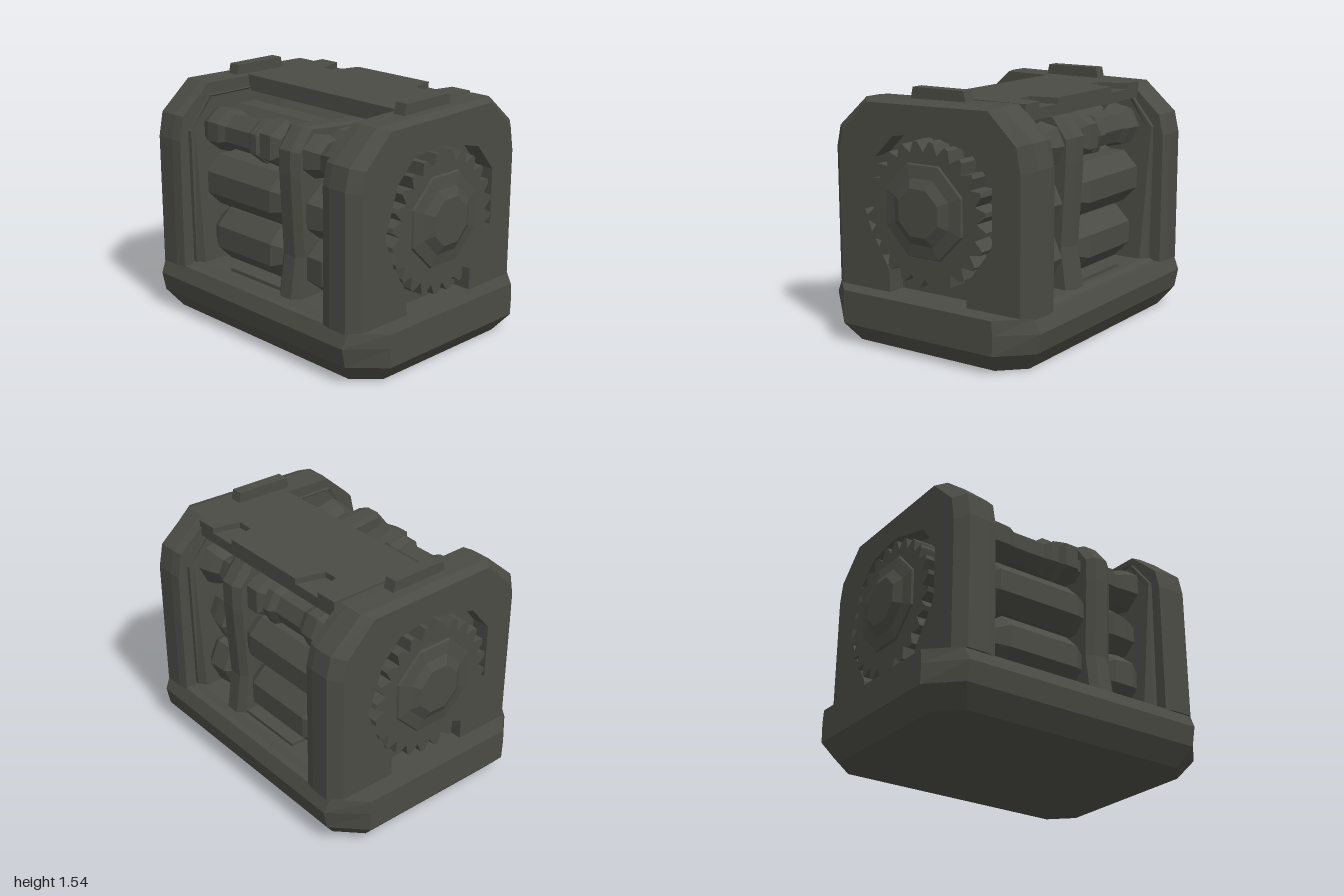
import * as THREE from 'three';

export function createModel() {
  const model = new THREE.Group();
  const metal = new THREE.MeshStandardMaterial({ color: 0x4b4b45 });
  metal.name = 'dark metal';

  // Adds a faceted part.
  function add(name, geometry, x = 0, y = 0, z = 0, parent = model) {
    const g = geometry.index ? geometry.toNonIndexed() : geometry;
    g.computeVertexNormals();
    const mesh = new THREE.Mesh(g, metal);
    mesh.name = name;
    mesh.position.set(x, y, z);
    parent.add(mesh);
    return mesh;
  }

  // Plate with a side outline [z, y], running from x0 to x1; its outer rim shrinks by taper0 and taper1 at the two faces.
  function sidePlate(points, x0, x1, taper0 = 1, taper1 = 1, isRim = () => true) {
    const shape = new THREE.Shape(points.map(([z, y]) => new THREE.Vector2(-z, y)));
    const g = new THREE.ExtrudeGeometry(shape, { depth: x1 - x0, steps: 4, bevelEnabled: false });
    g.rotateY(Math.PI / 2).translate(x0, 0, 0);
    const p = g.attributes.position;
    for (let i = 0; i < p.count; i++) {
      const x = p.getX(i), y = p.getY(i), z = p.getZ(i);
      const taper = Math.abs(x - x0) < 1e-4 ? taper0 : Math.abs(x - x1) < 1e-4 ? taper1 : 1;
      if (isRim(z, y)) {
        p.setZ(i, z * taper);
        if (y > 1) p.setY(i, y - (1 - taper) * 0.2);
      }
    }
    return g;
  }

  // Turned part along x from a profile of [x, radius].
  function turned(profile, sides = 8) {
    const ends = [[profile[0][0], 0], ...profile, [profile[profile.length - 1][0], 0]];
    const g = new THREE.LatheGeometry(ends.map(([x, r]) => new THREE.Vector2(r, x)), sides, Math.PI / sides);
    return g.rotateZ(-Math.PI / 2);
  }

  // Stack of eight-sided rings [y, halfX, halfZ, cornerX, cornerZ], closed at both ends.
  function loft(rings) {
    const v = [], idx = [], n = 8;
    for (const [y, a, b, cx, cz] of rings) {
      const ring = [[a, b - cz], [a - cx, b], [cx - a, b], [-a, b - cz], [-a, cz - b], [cx - a, -b], [a - cx, -b], [a, cz - b]];
      ring.forEach(([x, z]) => v.push(x, y, z));
    }
    for (let r = 0; r < rings.length - 1; r++) {
      for (let i = 0; i < n; i++) {
        const a = r * n + i, b = r * n + (i + 1) % n;
        idx.push(a, a + n, b, b, a + n, b + n);
      }
    }
    const t = (rings.length - 1) * n;
    for (let i = 1; i < n - 1; i++) idx.push(0, i, i + 1, t, t + i + 1, t + i);
    const g = new THREE.BufferGeometry();
    g.setAttribute('position', new THREE.Float32BufferAttribute(v, 3));
    g.setIndex(idx);
    return g;
  }

  // Chamfered base with a slightly raised floor between the end frames
  add('base', loft([
    [0, 0.9, 0.63, 0.14, 0.14], [0.12, 1, 0.72, 0.18, 0.18],
    [0.24, 1, 0.745, 0.18, 0.2], [0.325, 1, 0.705, 0.17, 0.17],
  ]));
  add('floor', sidePlate([[0.71, 0.3], [0.62, 0.345], [-0.62, 0.345], [-0.71, 0.3]], -0.63, 0.63));

  // End frames, each with an arched recess holding a gear
  const frame = [
    [0.72, 0.32], [0.72, 1.15], [0.69, 1.28], [0.48, 1.465], [-0.48, 1.48], [-0.69, 1.3], [-0.72, 1.15], [-0.72, 0.32],
    [-0.28, 0.32], [-0.28, 0.46], [-0.46, 0.7], [-0.46, 1.05], [-0.31, 1.23], [0, 1.3],
    [0.24, 1.26], [0.37, 1.13], [0.48, 0.8], [0.28, 0.46], [0.28, 0.32],
  ];
  const collar = [[0.63, 0.32], [0.64, 1.2], [0.48, 1.4], [-0.48, 1.4], [-0.64, 1.2], [-0.63, 0.32]];
  const gearPoints = [];
  const teeth = 24;
  for (let i = 0; i < teeth; i++) {
    [[0, 0.37], [0.36, 0.435], [0.6, 0.43]].forEach(([t, r]) => {
      const a = ((i + t) / teeth) * Math.PI * 2;
      gearPoints.push([r * Math.cos(a), r * Math.sin(a)]);
    });
  }
  // The collar's inner face leans outward toward the top.
  const collarGeometry = sidePlate(collar, 0.55, 0.76, 0.95);
  const cp = collarGeometry.attributes.position;
  for (let i = 0; i < cp.count; i++) {
    if (cp.getX(i) < 0.56) cp.setX(i, 0.55 + 0.06 * (cp.getY(i) - 0.32));
  }
  for (const side of [1, -1]) {
    const end = new THREE.Group();
    end.name = side > 0 ? 'leftEnd' : 'rightEnd';
    end.rotation.y = side > 0 ? 0 : Math.PI;
    model.add(end);
    add('endFrame', sidePlate(frame, 0.63, 0.88, 0.98, 0.9, (z, y) => Math.abs(z) > 0.5 || y > 1.4), 0, 0, 0, end);
    add('innerCollar', collarGeometry, 0, 0, 0, end);
    add('gear', sidePlate(gearPoints, 0.74, 0.9), 0, 0.825, 0, end);
    add('gearHub', turned([[0.88, 0.31], [0.912, 0.29], [0.925, 0.21], [0.958, 0.15]], 8), 0, 0.85, 0, end);
    add('topRib', sidePlate([[0.2, 1.45], [0.18, 1.537], [-0.18, 1.537], [-0.2, 1.45]], 0.68, 0.76), 0, 0, 0, end);
  }

  // Top cover with two notches along the back edge, over a thinner underside
  const cover = new THREE.Shape([
    [-0.64, -0.14], [0.64, -0.14], [0.64, 0.52], [0.5, 0.52], [0.46, 0.35], [0.35, 0.35], [0.31, 0.52],
    [-0.3, 0.52], [-0.35, 0.34], [-0.44, 0.34], [-0.5, 0.52], [-0.64, 0.52],
  ].map(([x, y]) => new THREE.Vector2(x, y)));
  add('topCover', new THREE.ExtrudeGeometry(cover, { depth: 0.04, bevelEnabled: false }).rotateX(-Math.PI / 2), 0, 1.437, 0);
  add('coverUnderside', new THREE.BoxGeometry(1.28, 0.065, 0.655), 0, 1.408, -0.19);

  // Central drum and its bed
  add('drum', turned([[-0.6, 0.42], [0.6, 0.42]], 8), 0, 0.83, 0);
  add('drumBed', new THREE.BoxGeometry(1.16, 0.25, 0.6), 0, 0.44, 0);
  add('floorStrip', new THREE.BoxGeometry(0.64, 0.03, 1.16), 0, 0.35, 0);

  // Divider between the long and short rollers
  add('divider', sidePlate([
    [0.63, 0.32], [0.59, 0.6], [0.62, 1.1], [0.62, 1.25], [0.52, 1.375], [0.12, 1.34], [-0.12, 1.34],
    [-0.52, 1.375], [-0.62, 1.25], [-0.62, 1.1], [-0.59, 0.6], [-0.63, 0.32],
  ], 0.14, 0.32, 0.94, 0.94));

  // Rollers, the same on the front and the back
  const rollers = [
    ['spool', [[-0.58, 0.11], [-0.52, 0.14], [-0.43, 0.135], [-0.38, 0.11], [-0.16, 0.11], [-0.12, 0.14], [-0.07, 0.14], [-0.05, 0.09], [0.16, 0.09]], 1.21, 0.45, 7],
    ['nut', [[-0.05, 0.1], [-0.02, 0.15], [0.07, 0.15], [0.11, 0.1]], 1.22, 0.46, 6],
    ['upperRoller', [[-0.55, 0.13], [-0.51, 0.175], [0.06, 0.175], [0.13, 0.14]], 0.89, 0.43, 8],
    ['lowerRoller', [[-0.53, 0.11], [-0.43, 0.18], [0.05, 0.18], [0.12, 0.13]], 0.55, 0.42, 8],
    ['innerRoller', [[-0.56, 0.16], [0.14, 0.16]], 1.18, 0.22, 8],
    ['shortSpool', [[0.31, 0.14], [0.38, 0.12], [0.43, 0.1], [0.49, 0.13], [0.57, 0.15]], 1.2, 0.44, 7],
    ['shortUpperRoller', [[0.31, 0.13], [0.36, 0.18], [0.47, 0.16], [0.57, 0.12]], 0.87, 0.41, 7],
    ['shortLowerRoller', [[0.31, 0.12], [0.36, 0.17], [0.49, 0.18], [0.57, 0.12]], 0.55, 0.42, 7],
    ['shortInnerRoller', [[0.3, 0.16], [0.58, 0.16]], 1.18, 0.22, 8],
  ];
  for (const side of [1, -1]) {
    for (const [name, profile, y, z, sides] of rollers) {
      add((side > 0 ? 'front ' : 'back ') + name, turned(profile, sides), 0, y, z * side);
    }
  }
  return model;
}
